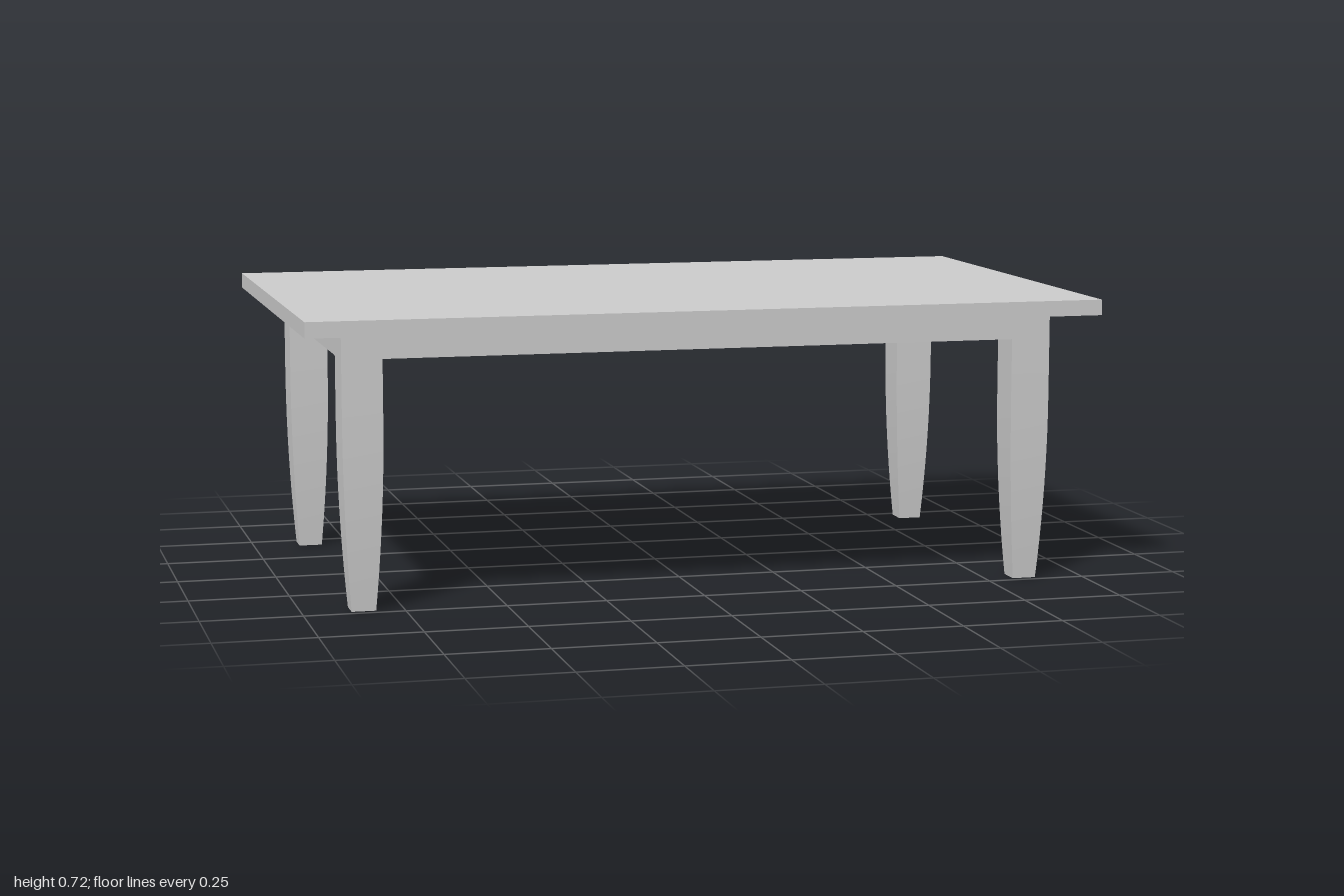
import * as THREE from 'three';

const material = new THREE.MeshStandardMaterial({ color: 0xcccccc });
const FRAME_TOP = 0.678;   // top of legs and aprons
const APRON_BOTTOM = 0.617;
const LEG = 0.1;           // leg and apron thickness
const LEG_X = 0.85, LEG_Z = 0.45;
const TAPER_START = 0.47;

function addBox(parent, name, w, h, d, x, y, z) {
  const mesh = new THREE.Mesh(new THREE.BoxGeometry(w, h, d), material);
  mesh.name = name;
  mesh.position.set(x, y, z);
  parent.add(mesh);
}

// Square leg that narrows in a gentle curve toward the foot
function legGeometry() {
  const geo = new THREE.BoxGeometry(LEG, FRAME_TOP, LEG, 1, 14, 1);
  geo.translate(0, FRAME_TOP / 2, 0);
  const p = geo.attributes.position;
  for (let i = 0; i < p.count; i++) {
    const t = Math.max(0, 1 - p.getY(i) / TAPER_START);
    const s = 1 - 0.4 * t * t;
    p.setX(i, p.getX(i) * s);
    p.setZ(i, p.getZ(i) * s);
  }
  geo.computeVertexNormals();
  return geo;
}

export function createModel() {
  const table = new THREE.Group();
  table.name = 'table';

  // Tabletop, with a hairline gap above the frame
  addBox(table, 'tabletop', 2, 0.039, 1.195, 0, 0.7025, 0);

  // Four legs
  const leg = legGeometry();
  for (const [sx, side] of [[1, 'Left'], [-1, 'Right']]) {
    for (const [sz, end] of [[1, 'front'], [-1, 'back']]) {
      const mesh = new THREE.Mesh(leg, material);
      mesh.name = `${end}${side}Leg`;
      mesh.position.set(sx * LEG_X, 0, sz * LEG_Z);
      table.add(mesh);
    }
  }

  // Aprons flush with the legs
  const h = FRAME_TOP - APRON_BOTTOM;
  const y = (FRAME_TOP + APRON_BOTTOM) / 2;
  for (const s of [1, -1]) {
    addBox(table, s > 0 ? 'frontApron' : 'backApron', 2 * LEG_X - LEG, h, LEG, 0, y, s * LEG_Z);
    addBox(table, s > 0 ? 'leftApron' : 'rightApron', LEG, h, 2 * LEG_Z - LEG, s * LEG_X, y, 0);
  }
  return table;
}
